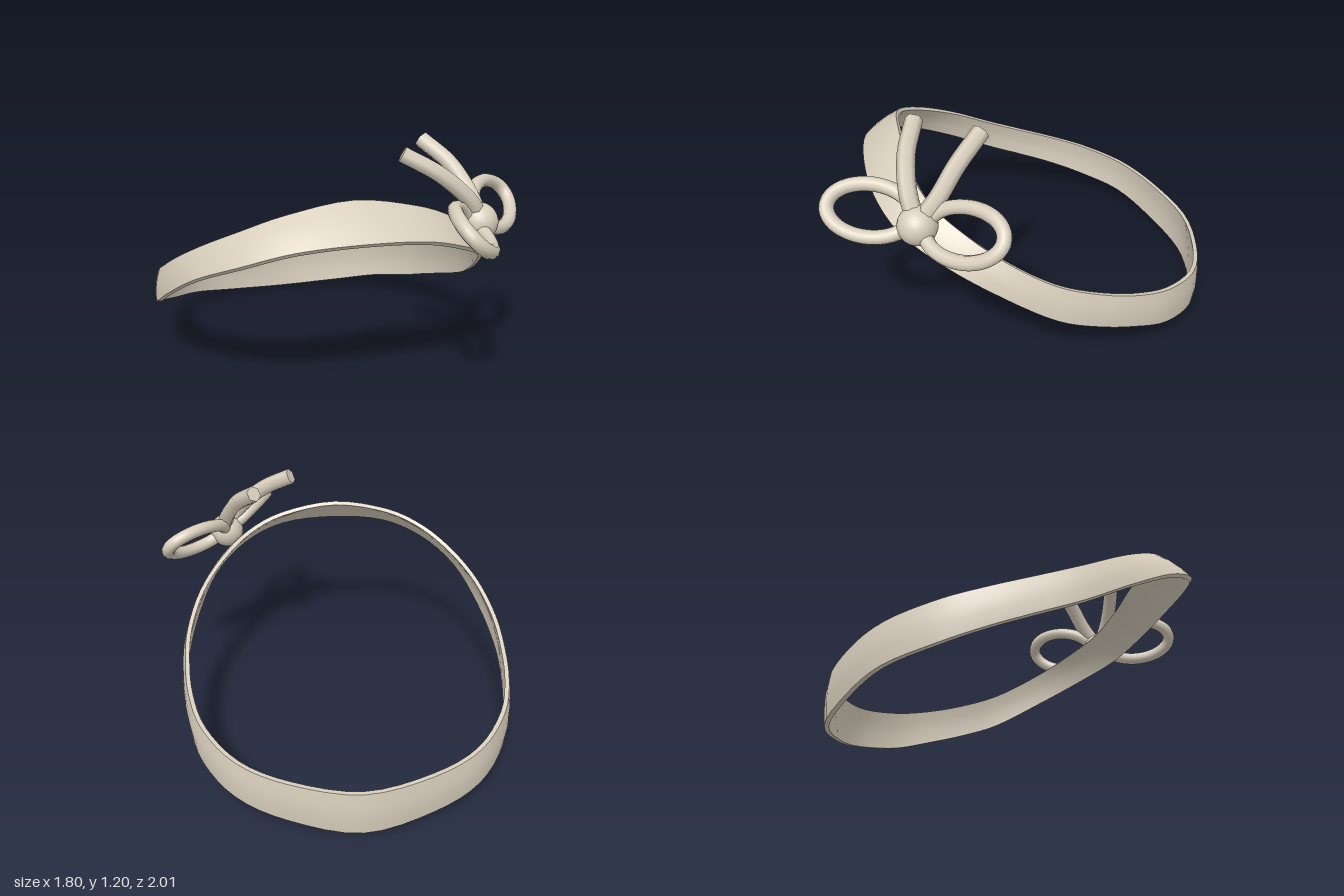
import * as THREE from 'three';
import { toCreasedNormals } from 'three/addons/utils/BufferGeometryUtils.js';

const V = (x, y, z) => new THREE.Vector3(x, y, z);

// Closed edge curve from half an outline, mirrored about the band's own middle
function mirroredCurve(half, cx) {
  const left = half.map(([x, y, z]) => V(cx + x, y, z));
  const right = half.slice(1, -1).reverse().map(([x, y, z]) => V(cx - x, y, z));
  return new THREE.CatmullRomCurve3([...left, ...right], true, 'catmullrom', 0.5);
}

// Thin, slightly bulged ribbon between a lower and an upper edge
function bandGeometry(lower, upper, steps, thickness, bulge) {
  const pos = [], index = [], n = 8;
  for (let i = 0; i < steps; i++) {
    const t = i / steps;
    const a = lower.getPoint(t), b = upper.getPoint(t);
    const out = lower.getTangent(t).cross(b.clone().sub(a)).normalize();
    for (let j = 0; j < n; j++) {
      const inner = j >= 4;
      const s = (inner ? 7 - j : j) / 3;
      const p = a.clone().lerp(b, s);
      p.addScaledVector(out, bulge * 4 * s * (1 - s) - (inner ? thickness : 0));
      pos.push(p.x, p.y, p.z);
    }
    const k = (i + 1) % steps;
    for (let j = 0; j < n; j++) {
      const m = (j + 1) % n;
      index.push(i * n + j, k * n + j, i * n + m, k * n + j, k * n + m, i * n + m);
    }
  }
  const geo = new THREE.BufferGeometry();
  geo.setAttribute('position', new THREE.Float32BufferAttribute(pos, 3));
  geo.setIndex(index);
  return toCreasedNormals(geo, 0.8);
}

export function createModel() {
  const group = new THREE.Group();
  const beige = new THREE.MeshStandardMaterial({ color: 0xd8cebc });
  beige.name = 'warm beige';
  const add = (name, geo, parent = group) => {
    const mesh = new THREE.Mesh(geo, beige);
    mesh.name = name;
    parent.add(mesh);
    return mesh;
  };

  // Headband: high and leaning back at the front, low and upright behind
  const lower = mirroredCurve([
    [0, 0.83, 0.78], [0.3, 0.81, 0.755], [0.53, 0.735, 0.66], [0.7, 0.63, 0.47],
    [0.8, 0.49, 0.23], [0.85, 0.36, 0], [0.845, 0.28, -0.2], [0.81, 0.21, -0.4],
    [0.74, 0.14, -0.6], [0.58, 0.085, -0.8], [0.34, 0.035, -0.92], [0, 0.002, -0.995],
  ], -0.045);
  const upper = mirroredCurve([
    [0, 0.98, 0.595], [0.3, 0.93, 0.58], [0.5, 0.85, 0.51], [0.65, 0.755, 0.37],
    [0.76, 0.65, 0.2], [0.82, 0.54, 0], [0.825, 0.46, -0.2], [0.8, 0.395, -0.4],
    [0.73, 0.34, -0.6], [0.57, 0.29, -0.8], [0.33, 0.255, -0.925], [0, 0.235, -0.995],
  ], -0.045);
  add('headband', bandGeometry(lower, upper, 88, 0.022, 0.01));

  // Bow
  const bow = new THREE.Group();
  bow.name = 'bow';
  group.add(bow);
  add('knot', new THREE.SphereGeometry(0.092, 24, 16), bow).position.set(0.57, 0.83, 0.585);

  // Loops: elliptical rings spanned by a long axis and a width axis
  const loop = (name, centre, long, wide) => {
    const pts = [];
    for (let i = 0; i < 16; i++) {
      const a = (i / 16) * Math.PI * 2;
      pts.push(centre.clone()
        .addScaledVector(long, 0.2 * Math.cos(a))
        .addScaledVector(wide, 0.12 * Math.sin(a)));
    }
    const curve = new THREE.CatmullRomCurve3(pts, true);
    add(name, new THREE.TubeGeometry(curve, 48, 0.034, 10, true), bow);
  };
  loop('leftLoop', V(0.725, 0.86, 0.405), V(0.67, 0.12, -0.73), V(-0.5, 0.75, -0.42));
  loop('frontLoop', V(0.45, 0.86, 0.785), V(-0.4, 0.05, 0.91), V(-0.64, 0.7, -0.31));

  // Tails: curved cords with flat cut ends
  const tail = (name, pts) => {
    const curve = new THREE.CatmullRomCurve3(pts);
    const r = 0.042, sides = 6, steps = 16;
    add(name, new THREE.TubeGeometry(curve, steps, r, sides), bow);
    const f = curve.computeFrenetFrames(steps);
    const cap = new THREE.CircleGeometry(r, sides, Math.PI);
    cap.applyMatrix4(new THREE.Matrix4()
      .makeBasis(f.normals[steps], f.binormals[steps], f.tangents[steps])
      .setPosition(pts[pts.length - 1]));
    add(name + 'End', cap, bow);
  };
  tail('rightTail', [V(0.57, 0.85, 0.59), V(0.5, 0.95, 0.61), V(0.36, 1.07, 0.595), V(0.2, 1.16, 0.535)]);
  tail('backTail', [V(0.58, 0.85, 0.58), V(0.56, 0.95, 0.49), V(0.5, 1.07, 0.39), V(0.4, 1.17, 0.26)]);

  return group;
}
